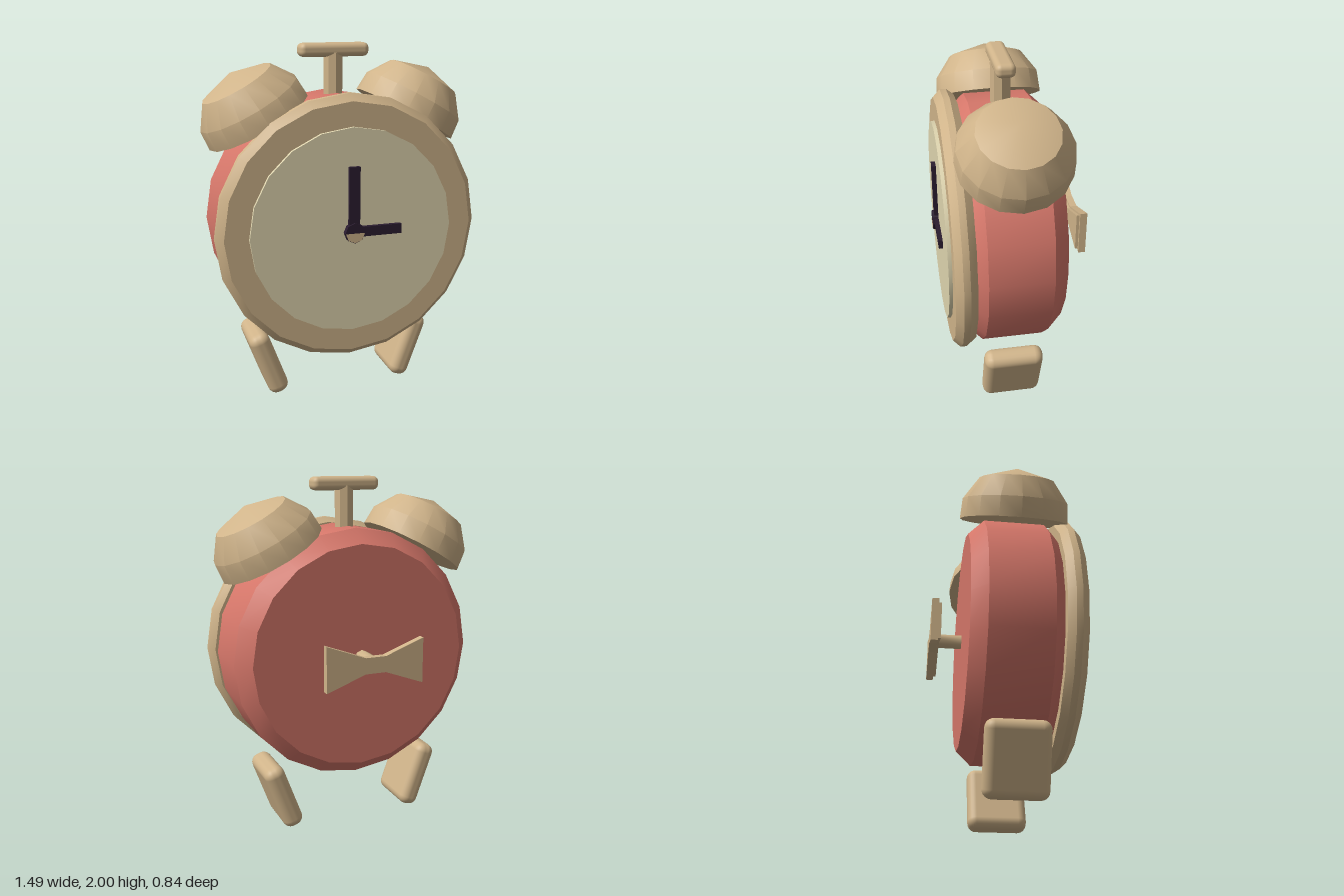
import * as THREE from 'three';
import { toCreasedNormals } from 'three/addons/utils/BufferGeometryUtils.js';
import { RoundedBoxGeometry } from 'three/addons/geometries/RoundedBoxGeometry.js';

const material = (name, color) => {
  const m = new THREE.MeshStandardMaterial({ color });
  m.name = name;
  return m;
};

// Solid of revolution from [radius, height] pairs, with sharp creases
const turned = (points, sides) => toCreasedNormals(
  new THREE.LatheGeometry(points.map(([r, h]) => new THREE.Vector2(r, h)), sides), 0.61);

export function createModel() {
  const brass = material('brass', 0xd0b48a);
  const red = material('red', 0xd6776a);
  const cream = material('cream', 0xe0d6b0);
  const dark = material('dark', 0x2b1d30);

  const clock = new THREE.Group();
  clock.name = 'alarmClock';
  const add = (name, geometry, mat, x, y, z) => {
    const mesh = new THREE.Mesh(geometry, mat);
    mesh.name = name;
    mesh.position.set(x, y, z);
    clock.add(mesh);
    return mesh;
  };
  const CY = 1.02; // height of the dial centre
  const MID = 0.02; // depth of bells, handle and feet

  // Case, bezel and dial, all turned around the z axis
  const body = turned([[0, -0.235], [0.63, -0.235], [0.71, -0.15], [0.71, 0.195], [0.655, 0.25], [0, 0.25]], 20);
  add('case', body.rotateX(Math.PI / 2), red, 0, CY, 0);
  const bezel = turned([[0, 0.25], [0.71, 0.25], [0.74, 0.29], [0.74, 0.325], [0.7, 0.365], [0, 0.365]], 20);
  add('bezel', bezel.rotateX(Math.PI / 2), brass, 0, CY, 0);
  const dial = turned([[0, 0.355], [0.568, 0.355], [0.568, 0.385], [0, 0.385]], 20);
  add('dial', dial.rotateX(Math.PI / 2), cream, 0, CY, 0);

  // Hands and hub
  add('minuteHand', new THREE.BoxGeometry(0.06, 0.36, 0.024), dark, 0, CY + 0.18, 0.396);
  add('hourHand', new THREE.BoxGeometry(0.27, 0.054, 0.024), dark, 0.135, CY + 0.003, 0.396);
  add('hub', turned([[0, 0.38], [0.056, 0.38], [0.056, 0.418], [0, 0.418]], 8).rotateX(Math.PI / 2), dark, 0, CY, 0);
  add('hubPlate', new THREE.CircleGeometry(0.054, 4, Math.PI, Math.PI), brass, 0, CY, 0.42);

  // Top handle
  add('handleStem', toCreasedNormals(new THREE.CylinderGeometry(0.055, 0.055, 0.27, 8), 0.61), brass, 0, 1.815, MID);
  add('handleBar', new RoundedBoxGeometry(0.395, 0.075, 0.105, 3, 0.03), brass, 0, 1.9625, MID);

  // Bells and feet, mirrored left and right
  const bell = turned([[0, 0], [0.309, 0], [0.3, 0.111], [0.212, 0.235], [0, 0.3]], 16);
  const foot = new RoundedBoxGeometry(0.12, 0.396, 0.34, 3, 0.05);
  for (const [side, s] of [['left', 1], ['right', -1]]) {
    add(side + 'Bell', bell, brass, s * 0.43, 1.59, MID).rotation.z = -s * 0.507;
    add(side + 'Foot', foot, brass, s * 0.43, 0.197, 0.025).rotation.z = -s * 0.35;
  }

  // Winding key: shaft and bow-tie grip with a stepped inner edge
  add('keyShaft', toCreasedNormals(new THREE.CylinderGeometry(0.042, 0.042, 0.16, 8).rotateX(Math.PI / 2), 0.8),
    brass, 0, CY, -0.3);
  const grip = (w, h, neck, depth) => {
    const outline = [[-w, -h], [-0.06, -neck], [0.06, -neck], [w, -h], [w, h], [0.06, neck], [-0.06, neck], [-w, h]];
    const shape = new THREE.Shape(outline.map(([x, y]) => new THREE.Vector2(x, y)));
    return new THREE.ExtrudeGeometry(shape, { depth, bevelEnabled: false });
  };
  add('keyGrip', grip(0.285, 0.128, 0.045, 0.04), brass, 0, CY, -0.42);
  add('keyGripStep', grip(0.27, 0.11, 0.035, 0.016), brass, 0, CY, -0.38);

  return clock;
}
